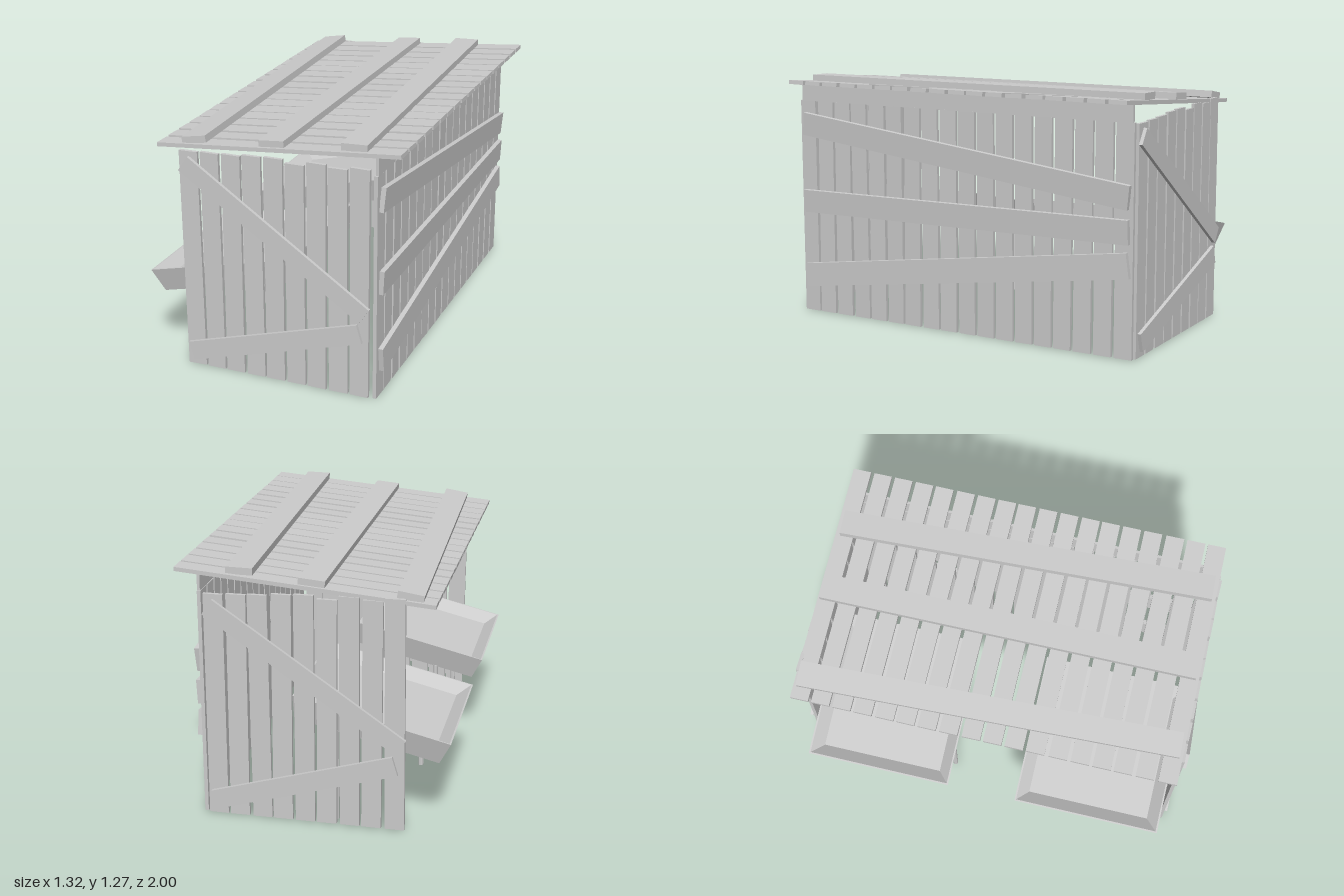
import * as THREE from 'three';

const mat = new THREE.MeshStandardMaterial({ color: 0xcccccc, flatShading: true });

// Small seeded wobble in [-1, 1] for hand-built irregularity
let seed = 7;
const wobble = () => {
  seed = (seed * 16807) % 2147483647;
  return (seed / 2147483647) * 2 - 1;
};

// Flat board in the local XY plane running from a to b, back face at z
function board(parent, name, a, b, width, thick, z, twist = 0) {
  const dx = b[0] - a[0], dy = b[1] - a[1];
  const mesh = new THREE.Mesh(new THREE.BoxGeometry(Math.hypot(dx, dy), width, thick), mat);
  mesh.name = name;
  mesh.position.set((a[0] + b[0]) / 2, (a[1] + b[1]) / 2, z + thick / 2);
  mesh.rotation.order = 'ZYX';
  mesh.rotation.z = Math.atan2(dy, dx);
  mesh.rotation.x = twist;
  parent.add(mesh);
  return mesh;
}

// Row of upright planks, one per entry in tops
function planks(parent, start, pitch, width, tops) {
  tops.forEach((top, i) => {
    const x = start + i * pitch + width / 2, lean = 0.004 * wobble();
    board(parent, 'wallPlank', [x - lean, 0.003], [x + lean, top], width, 0.018, 0, 0.03 * wobble());
  });
}

// End wall with one long diagonal brace and one low brace
function endWall(name) {
  const wall = new THREE.Group();
  wall.name = name;
  planks(wall, -0.453, 0.109, 0.096, [1.135, 1.14, 1.145, 1.155, 1.16, 1.145, 1.165, 1.155, 1.17]);
  board(wall, 'diagonalBrace', [-0.43, 1.075], [0.497, 0.44], 0.09, 0.018, 0.018);
  board(wall, 'lowBrace', [-0.425, 0.078], [0.472, 0.342], 0.098, 0.018, 0.018);
  return wall;
}

// Shallow tray built from square loops: outer base, rim, inner floor
function trayGeometry() {
  const loops = [[0.363, 0.353, -0.125], [0.393, 0.385, 0], [0.385, 0.377, 0], [0.328, 0.32, -0.055]];
  const pos = [], index = [];
  for (const [hx, hz, y] of loops) pos.push(-hx, y, hz, hx, y, hz, hx, y, -hz, -hx, y, -hz);
  for (let l = 0; l < loops.length - 1; l++) {
    for (let i = 0; i < 4; i++) {
      const a = l * 4 + i, b = l * 4 + ((i + 1) % 4);
      index.push(a, b, b + 4, a, b + 4, a + 4);
    }
  }
  const f = (loops.length - 1) * 4;
  index.push(0, 2, 1, 0, 3, 2, f, f + 1, f + 2, f, f + 2, f + 3);
  const g = new THREE.BufferGeometry();
  g.setAttribute('position', new THREE.Float32BufferAttribute(pos, 3));
  g.setIndex(index);
  const flat = g.toNonIndexed();
  flat.computeVertexNormals();
  return flat;
}

export function createModel() {
  seed = 7;
  const model = new THREE.Group();
  model.name = 'marketStall';

  // End walls
  const front = endWall('frontWall');
  front.position.z = 0.964;
  const back = endWall('backWall');
  back.rotation.y = Math.PI;
  back.position.set(0.07, 0, -0.964);
  model.add(front, back);

  // Long side wall; local x runs toward -z
  const side = new THREE.Group();
  side.name = 'sideWall';
  side.rotation.y = Math.PI / 2;
  side.position.x = 0.535;
  planks(side, -0.975, 0.109, 0.094, Array(18).fill(1.142));
  board(side, 'topRail', [-0.965, 1.185], [0.965, 1.185], 0.09, 0.014, 0.004);
  board(side, 'upperBrace', [-0.945, 1.02], [0.955, 0.79], 0.12, 0.024, 0.018, 0.06);
  board(side, 'middleBrace', [-0.95, 0.605], [0.955, 0.625], 0.12, 0.024, 0.018, 0.05);
  board(side, 'lowerBrace', [-0.945, 0.2], [0.955, 0.465], 0.125, 0.024, 0.018);
  model.add(side);

  // Sloping roof; local y runs toward -z, local z points up
  const roof = new THREE.Group();
  roof.name = 'roof';
  roof.rotation.order = 'ZYX';
  roof.rotation.set(-Math.PI / 2, 0, Math.atan(0.0847));
  roof.position.set(0.04, 1.183, 0);
  for (let i = 0; i < 18; i++) {
    const y = 0.932 - i * 0.109, skew = 0.003 * wobble();
    board(roof, 'roofSlat', [-0.622, y - skew], [0.622, y + skew], 0.092, 0.02, 0, 0.03 * wobble());
  }
  board(roof, 'roofBatten', [-0.5, 0.96], [-0.43, -0.95], 0.125, 0.035, 0.02, 0.08);
  board(roof, 'roofBatten', [-0.035, 0.965], [-0.025, -0.95], 0.128, 0.032, 0.02);
  board(roof, 'roofBatten', [0.315, 0.955], [0.39, -0.945], 0.128, 0.035, 0.02, -0.06);
  model.add(roof);

  // Two tilted trays, each on four round legs
  const trayGeo = trayGeometry();
  const slope = 0.24;
  for (const s of [-1, 1]) {
    const stand = new THREE.Group();
    stand.name = s > 0 ? 'frontTrayStand' : 'backTrayStand';
    const tray = new THREE.Mesh(trayGeo, mat);
    tray.name = 'tray';
    tray.rotation.z = Math.atan(slope);
    tray.position.set(-0.278, 0.552, s * 0.567);
    stand.add(tray);
    for (const x of [-0.4, -0.1]) {
      for (const z of [0.22, 0.915]) {
        const h = 0.4 + slope * (x + 0.4);
        const leg = new THREE.Mesh(new THREE.CylinderGeometry(0.014, 0.014, h, 10), mat);
        leg.name = 'trayLeg';
        leg.position.set(x, h / 2, s * z);
        stand.add(leg);
      }
    }
    model.add(stand);
  }
  return model;
}
